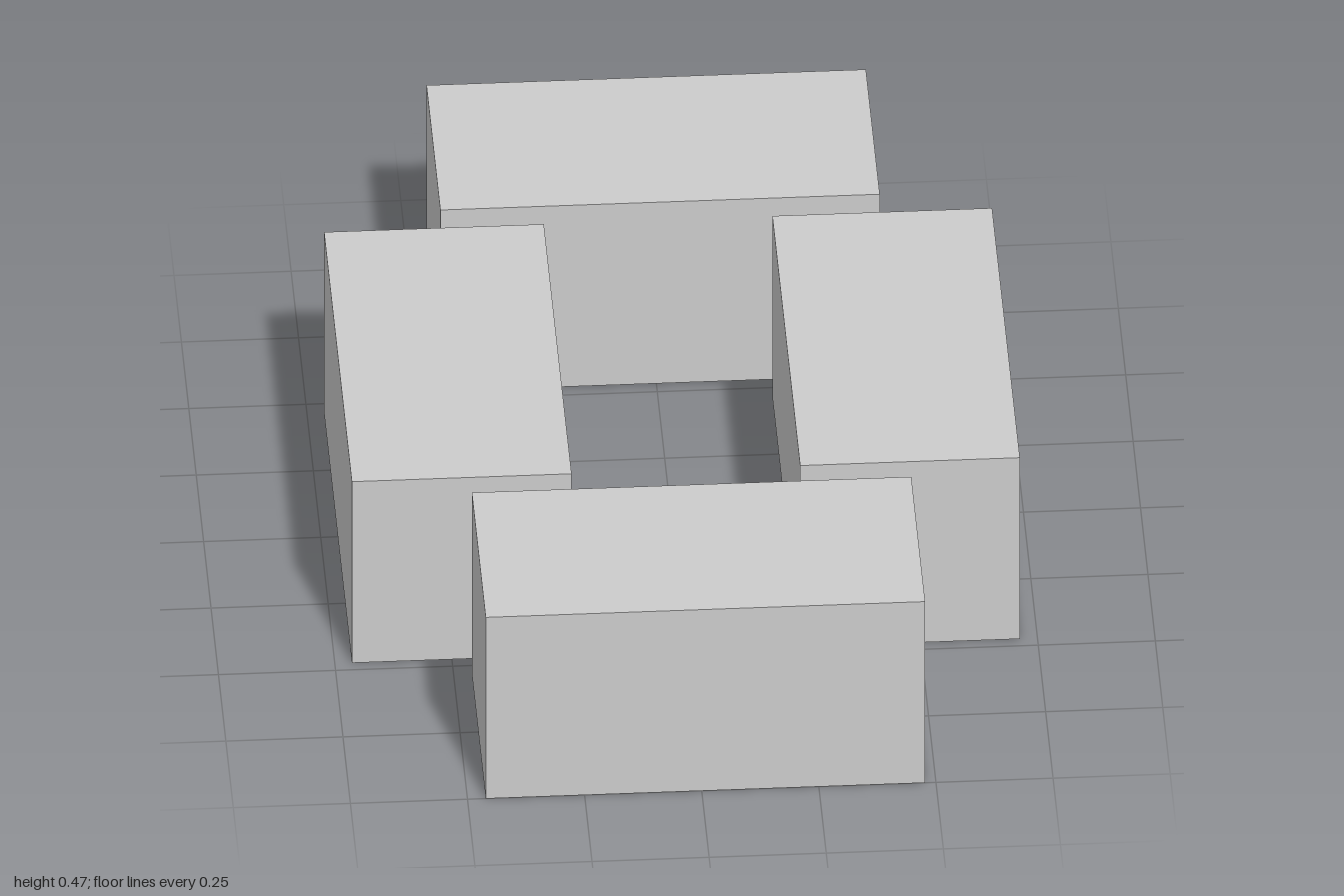
import * as THREE from 'three';

const S = 0.469; // cube edge

export function createModel() {
  const model = new THREE.Group();
  const material = new THREE.MeshStandardMaterial({ color: 0xcccccc, flatShading: true });
  const cube = new THREE.BoxGeometry(S, S, S);

  // A block is two cubes set side by side along one axis
  function addBlock(name, x, z, axis) {
    const block = new THREE.Group();
    block.name = name;
    for (const side of [-1, 1]) {
      const half = new THREE.Mesh(cube, material);
      half.name = side < 0 ? 'firstCube' : 'secondCube';
      half.position[axis] = side * S / 2;
      block.add(half);
    }
    block.position.set(x, S / 2, z);
    model.add(block);
  }

  // Blocks across the front and back
  addBlock('frontBlock', 0.008, 1 - S / 2, 'x');
  addBlock('backBlock', 0.008, -1 + S / 2, 'x');

  // Blocks along the two sides
  addBlock('leftBlock', 0.478, 0.005, 'z');
  addBlock('rightBlock', -0.479, 0.005, 'z');

  return model;
}
